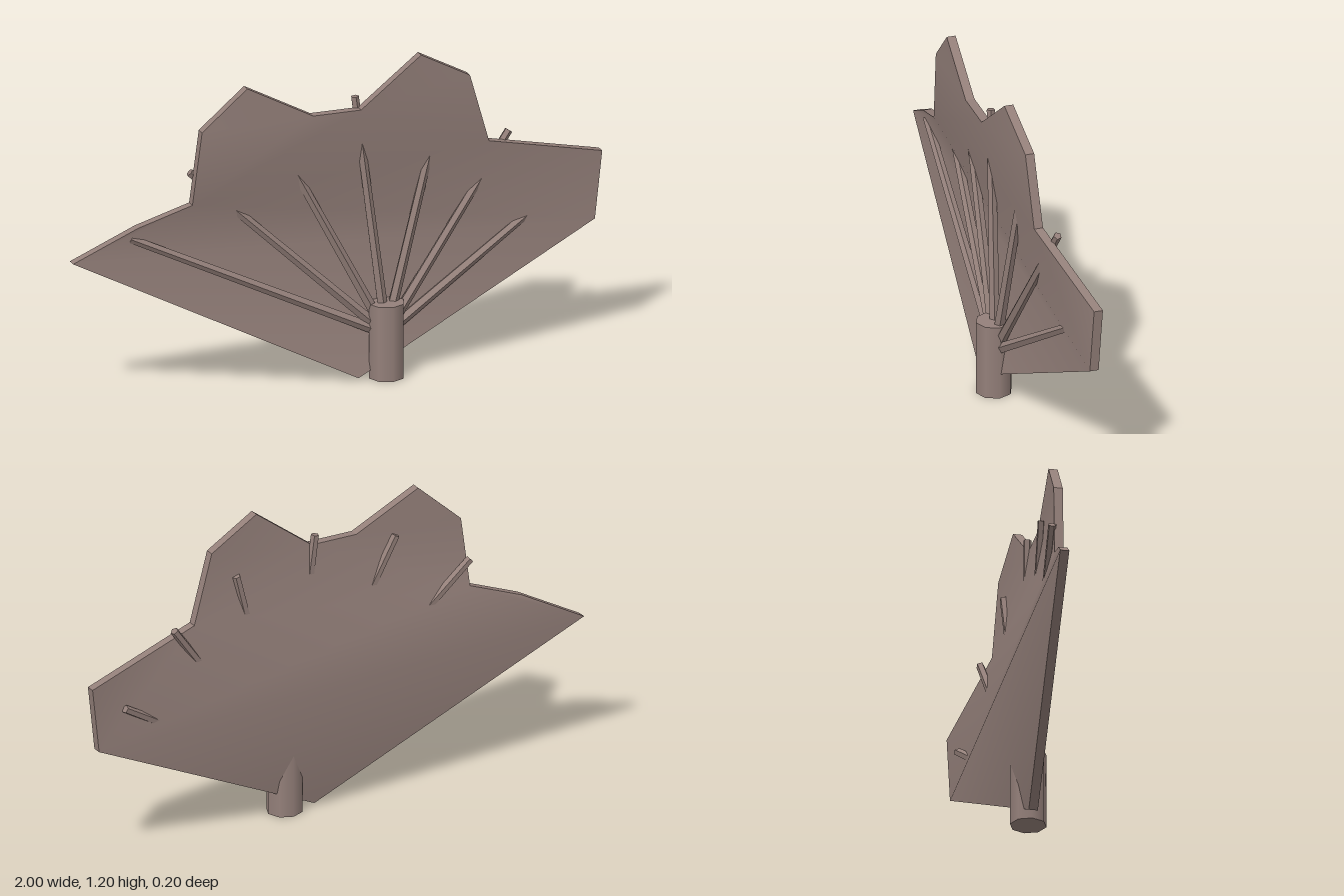
import * as THREE from 'three';

export function createModel() {
  const model = new THREE.Group();
  const bark = new THREE.MeshStandardMaterial({ color: 0x94807a });
  bark.name = 'dull brown';

  const add = (name, geometry) => {
    const mesh = new THREE.Mesh(geometry, bark);
    mesh.name = name;
    model.add(mesh);
    return mesh;
  };

  // Lobed fan blade: the rim bows back towards both sides, the middle is dished
  const thickness = 0.033;
  const rim = [
    [0.04, 0.01], [0.97, 0.46], [1, 0.71], [0.545, 0.83], [0.47, 1.09],
    [0.28, 1.195], [0.05, 1.02], [-0.13, 1.02], [-0.375, 1.15],
    [-0.54, 1.0], [-0.575, 0.73], [-0.77, 0.66], [-1, 0.54],
  ];
  const panels = [
    [0, 1, 12], [12, 1, 10], [10, 1, 3], [1, 2, 3], [10, 11, 12].reverse(),
    [10, 3, 6], [10, 6, 7], [10, 7, 9], [7, 8, 9], [3, 4, 6], [4, 5, 6],
  ];
  panels[4] = [10, 11, 12];
  const front = rim.map(([x, y]) => [x, y, 0.046 - 0.1 * (x - 0.06) ** 2]);
  const back = front.map(([x, y, z]) => [x, y, z - thickness]);
  const n = rim.length;
  const points = [...front, ...back];
  const faces = [];
  for (const [a, b, c] of panels) faces.push(a, b, c, n + a, n + c, n + b);
  for (let i = 0; i < n; i++) {
    const j = (i + 1) % n;
    const k = points.length;
    points.push(front[i], back[i], back[j], front[j]);
    faces.push(k, k + 1, k + 2, k, k + 2, k + 3);
  }
  const blade = new THREE.BufferGeometry();
  blade.setAttribute('position', new THREE.Float32BufferAttribute(points.flat(), 3));
  blade.setIndex(faces);
  blade.computeVertexNormals();
  add('fanBlade', blade);

  // Short upright stem
  const stem = add('stem', new THREE.CylinderGeometry(0.066, 0.066, 0.28, 8));
  stem.position.set(0.15, 0.14, 0.035);

  // Ribs radiating from the stem and piercing the blade near their tips
  const root = new THREE.Vector3(0.15, 0.16, 0.03);
  const tips = [
    [0.86, 0.6, -0.065], [0.64, 0.84, -0.032], [0.37, 0.98, -0.006], [0.04, 1.06, 0.008],
    [-0.28, 0.99, -0.01], [-0.57, 0.84, -0.035], [-0.79, 0.615, -0.045],
  ];
  tips.forEach((t, i) => {
    const dir = new THREE.Vector3(...t).sub(root);
    const rib = new THREE.CylinderGeometry(0.015, 0.02, dir.length(), 5).toNonIndexed();
    rib.computeVertexNormals();
    const mesh = add('rib' + (i + 1), rib);
    mesh.position.copy(root).addScaledVector(dir, 0.5);
    mesh.quaternion.setFromUnitVectors(new THREE.Vector3(0, 1, 0), dir.normalize());
  });

  return model;
}
